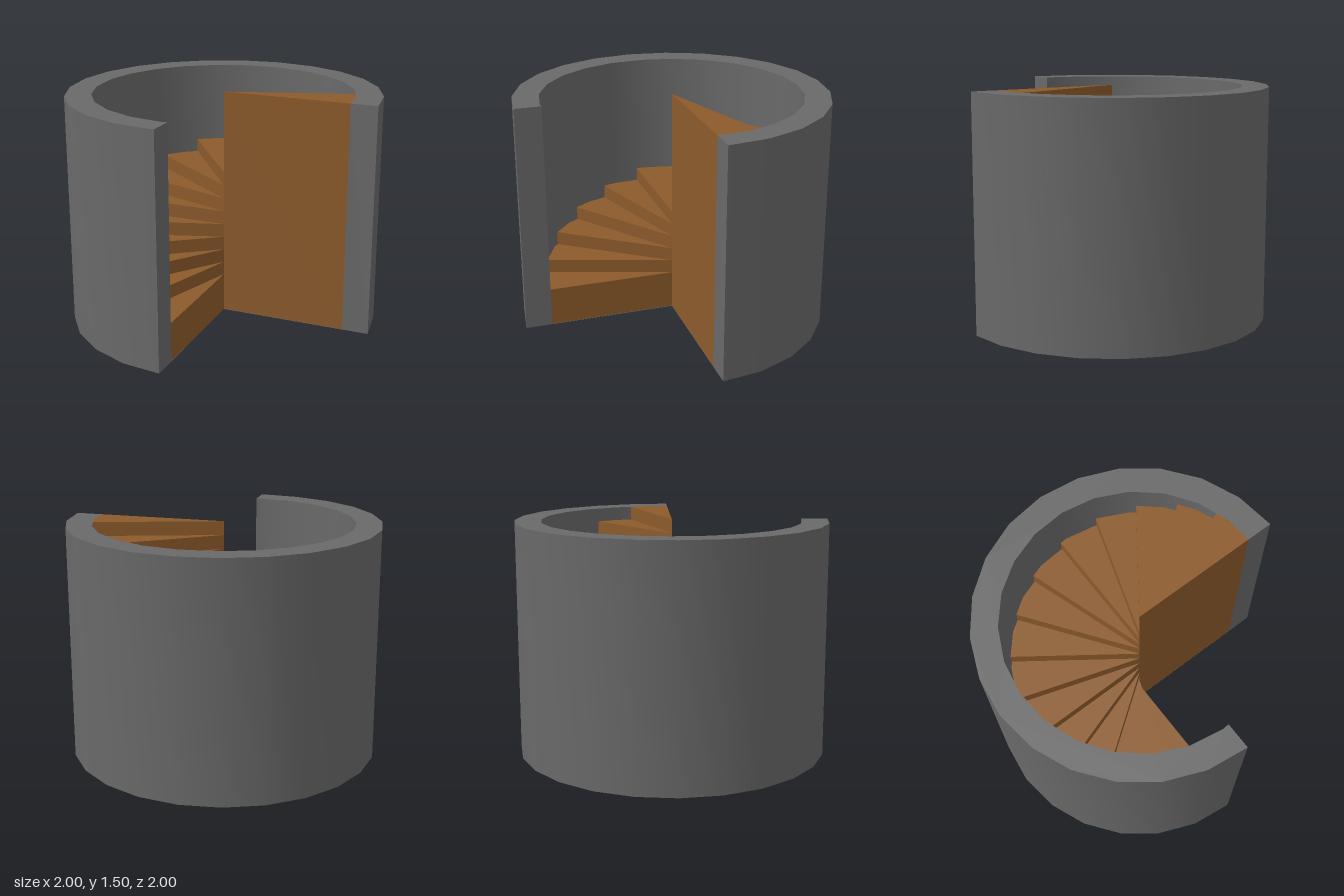
import * as THREE from 'three';
import { toCreasedNormals } from 'three/addons/utils/BufferGeometryUtils.js';

const HEIGHT = 1.5, OUTER = 1, INNER = 0.833;
const SWEEP = 270, STEPS = 15, FIRST_RISE = 0.255;
const FACET = 15, INNER_OFFSET = 3; // degrees
const FLOOR = 0.002;

// Plan point; the angle runs from +z (front) towards -x
function planPoint(radius, deg) {
  const t = THREE.MathUtils.degToRad(deg);
  return new THREE.Vector2(-radius * Math.sin(t), -radius * Math.cos(t));
}

// Faceted arc from a to b, with corners every FACET degrees from offset
function arc(radius, a, b, offset) {
  const onFacet = (deg) => {
    const local = THREE.MathUtils.euclideanModulo(deg - offset, FACET) - FACET / 2;
    const r = radius * Math.cos(THREE.MathUtils.degToRad(FACET / 2))
      / Math.cos(THREE.MathUtils.degToRad(local));
    return planPoint(r, deg);
  };
  const points = [onFacet(a)];
  for (let d = offset; d < b - 0.01; d += FACET) if (d > a + 0.01) points.push(planPoint(radius, d));
  points.push(onFacet(b));
  return points;
}

// Upright prism over a plan outline
function prism(points, bottom, top) {
  const geometry = new THREE.ExtrudeGeometry(new THREE.Shape(points), {
    depth: top - bottom, bevelEnabled: false,
  });
  geometry.rotateX(-Math.PI / 2).translate(0, bottom, 0);
  return toCreasedNormals(geometry, Math.PI / 6);
}

export function createModel() {
  const model = new THREE.Group();
  model.name = 'spiralStair';
  const stone = new THREE.MeshStandardMaterial({ color: 0x696969 });
  const wood = new THREE.MeshStandardMaterial({ color: 0x8b5a2b });
  const add = (name, geometry, material, parent = model) => {
    const mesh = new THREE.Mesh(geometry, material);
    mesh.name = name;
    parent.add(mesh);
  };

  // Three-quarter round wall
  const outer = arc(OUTER, 0, SWEEP, 0);
  const inner = arc(INNER, 0, SWEEP, INNER_OFFSET);
  add('wall', prism([...outer, ...inner.slice().reverse()], 0, HEIGHT), stone);

  // Stone underside of the stair
  const centre = new THREE.Vector2(0, 0);
  const underside = new THREE.ShapeGeometry(new THREE.Shape([centre, ...inner]));
  underside.rotateX(-Math.PI / 2);
  add('underside', underside, new THREE.MeshStandardMaterial({ color: 0x696969, side: THREE.DoubleSide }));

  // Solid wedge steps climbing to the top of the wall
  const steps = new THREE.Group();
  steps.name = 'steps';
  const turn = SWEEP / STEPS;
  for (let i = 0; i < STEPS; i++) {
    const top = FIRST_RISE + (HEIGHT - FIRST_RISE) * i / (STEPS - 1);
    const outline = [centre, ...arc(INNER, i * turn, (i + 1) * turn, INNER_OFFSET)];
    add(`step${i + 1}`, prism(outline, FLOOR, top), wood, steps);
  }
  model.add(steps);
  return model;
}
